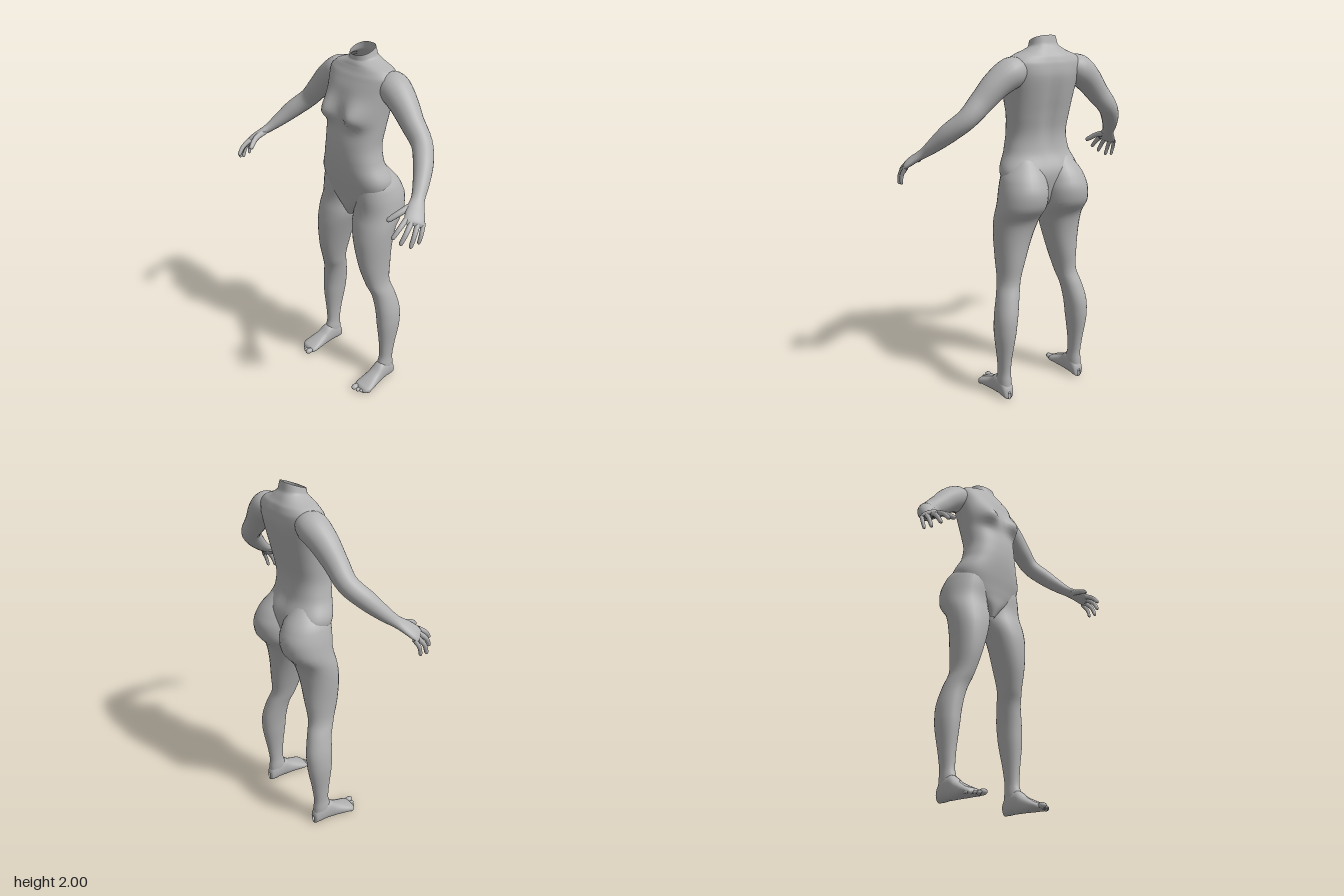
import * as THREE from 'three';

const Z = new THREE.Vector3(0, 0, 1), X = new THREE.Vector3(1, 0, 0), Y = new THREE.Vector3(0, 1, 0);
const ARM_REF = new THREE.Vector3(0.59, 0.8, 0.23);

// section planes: each returns [u, v] with u x v along the path
const level = () => [Z, X];
const upright = () => [X, Y];
const across = (t) => {
  const v = new THREE.Vector3().crossVectors(t, ARM_REF).normalize();
  return [new THREE.Vector3().crossVectors(v, t), v];
};

// smooth skin over rows of [x, y, z, radiusU, radiusV]
function loft(rows, { frame, sides = 24, steps = 4, power = 1, deform }) {
  const path = new THREE.CatmullRomCurve3(rows.map((r) => new THREE.Vector3(r[0], r[1], r[2])));
  const size = new THREE.CatmullRomCurve3(rows.map((r) => new THREE.Vector3(r[3], r[4], 0)));
  const count = (rows.length - 1) * steps;
  const pos = [], index = [];
  const bend = (n) => Math.sign(n) * Math.abs(n) ** power;
  for (let i = 0; i <= count; i++) {
    const c = path.getPoint(i / count), s = size.getPoint(i / count);
    const [u, v] = frame(path.getTangent(i / count));
    for (let j = 0; j < sides; j++) {
      const a = (j / sides) * Math.PI * 2;
      const p = c.clone()
        .addScaledVector(u, bend(Math.cos(a)) * Math.max(s.x, 0.001))
        .addScaledVector(v, bend(Math.sin(a)) * Math.max(s.y, 0.001));
      if (deform) deform(p, a);
      pos.push(p.x, p.y, p.z);
      if (i < count) {
        const k = i * sides, n = (j + 1) % sides;
        index.push(k + j, k + n, k + sides + j, k + n, k + sides + n, k + sides + j);
      }
    }
  }
  const geo = new THREE.BufferGeometry();
  geo.setAttribute('position', new THREE.Float32BufferAttribute(pos, 3));
  geo.setIndex(index);
  geo.computeVertexNormals();
  return geo;
}

function mirrored(geo) {
  const g = geo.clone();
  const p = g.attributes.position, id = g.index;
  for (let i = 0; i < p.count; i++) p.setX(i, -p.getX(i));
  for (let i = 0; i < id.count; i += 3) {
    const b = id.getX(i + 1);
    id.setX(i + 1, id.getX(i + 2));
    id.setX(i + 2, b);
  }
  g.computeVertexNormals();
  return g;
}

// level section from its four extents
const slab = ([y, x0, x1, front, back]) =>
  [(x0 + x1) / 2, y, (front + back) / 2, (front - back) / 2, (x1 - x0) / 2];
const bump = (d, r) => Math.exp(-((d / r) ** 2));

export function createModel() {
  const group = new THREE.Group();
  group.name = 'figure';
  const skin = new THREE.MeshStandardMaterial({ color: 0xb3b3b3, side: THREE.DoubleSide });
  skin.name = 'plain grey';
  const add = (name, geo) => {
    const m = new THREE.Mesh(geo, skin);
    m.name = name;
    group.add(m);
  };
  const pair = (name, geo) => {
    add('left' + name, geo);
    add('right' + name, mirrored(geo));
  };

  // torso: height, half width, front, back; open at the neck
  const torso = [
    [1.065, 0.02, -0.02, -0.1], [1.12, 0.075, 0.005, -0.17], [1.2, 0.19, 0.022, -0.2],
    [1.3, 0.228, 0.045, -0.215], [1.4, 0.187, 0.06, -0.18], [1.5, 0.17, 0.06, -0.175],
    [1.6, 0.178, 0.045, -0.195], [1.7, 0.19, 0.04, -0.22], [1.8, 0.205, 0.015, -0.24],
    [1.865, 0.215, -0.015, -0.235], [1.9, 0.18, -0.035, -0.222], [1.925, 0.115, -0.045, -0.203],
    [1.945, 0.077, -0.052, -0.185], [1.98, 0.067, -0.055, -0.175],
  ].map(([y, w, f, b]) => slab([y, -w, w, f, b]));
  add('torso', loft(torso, {
    frame: level, sides: 48, steps: 5, power: 0.86,
    deform: (p, a) => {
      const front = Math.max(0, Math.cos(a)), rear = Math.max(0, -Math.cos(a));
      const neck = THREE.MathUtils.smoothstep(p.y, 1.91, 1.98);
      // bust, hollow of the spine, slanted neck rim
      const drop = p.y < 1.665 ? 0.045 : 0.075;
      p.z += 0.055 * bump(Math.abs(p.x) - 0.105, 0.065) * bump(p.y - 1.665, drop) * Math.sqrt(front);
      p.z += 0.018 * bump(p.x, 0.035) * bump(p.y - 1.6, 0.24) * rear;
      p.y -= (p.z + 0.115) * 0.36 * neck;
    },
  }));

  // legs with buttocks: height, inner x, outer x, front, back
  const leg = [
    [0.03, 0.21, 0.275, -0.07, -0.155], [0.1, 0.206, 0.28, -0.05, -0.155],
    [0.16, 0.21, 0.277, -0.063, -0.152], [0.25, 0.205, 0.284, -0.06, -0.165],
    [0.4, 0.185, 0.3, -0.045, -0.193], [0.5, 0.172, 0.295, -0.04, -0.195],
    [0.6, 0.152, 0.273, -0.028, -0.173], [0.68, 0.13, 0.25, 0.002, -0.15],
    [0.8, 0.095, 0.25, 0.035, -0.16], [0.95, 0.045, 0.262, 0.045, -0.175],
    [1.04, 0.014, 0.268, 0.032, -0.2], [1.12, 0.002, 0.267, 0.012, -0.262],
    [1.2, 0, 0.256, 0.012, -0.277], [1.28, 0.008, 0.233, 0.01, -0.247],
    [1.37, 0.04, 0.17, -0.02, -0.175],
  ].map(slab);
  pair('Leg', loft(leg, { frame: level, sides: 28, power: 0.95 }));

  // feet: z, centre x, half width, top
  const foot = [
    [-0.163, 0.243, 0.008, 0.05], [-0.155, 0.243, 0.028, 0.075], [-0.12, 0.243, 0.038, 0.12],
    [-0.06, 0.245, 0.041, 0.125], [-0.01, 0.248, 0.046, 0.088], [0.04, 0.251, 0.054, 0.062],
    [0.08, 0.252, 0.058, 0.044], [0.1, 0.25, 0.05, 0.035], [0.112, 0.248, 0.035, 0.02],
  ].map(([z, x, w, top]) => [x, top / 2, z, w, top / 2]);
  pair('Foot', loft(foot, {
    frame: upright, power: 0.85,
    deform: (p) => { p.y = Math.max(p.y, 0.004 - 0.004 * bump(p.z + 0.12, 0.06)); },
  }));
  const toes = [[0.22, 0.119, 0.018], [0.247, 0.118, 0.012], [0.266, 0.108, 0.011],
    [0.283, 0.096, 0.011], [0.298, 0.081, 0.011]];
  toes.forEach(([x, z, r], i) => {
    const toe = new THREE.SphereGeometry(r, 12, 8);
    toe.scale(1, 0.9, 1.45);
    toe.translate(x, r * 0.9 + 0.004, z);
    pair('Toe' + (i + 1), toe);
  });

  // arms running on into the palms: centre, thickness, breadth
  pair('Arm', loft([
    [0.12, 1.835, -0.14, 0.045, 0.055], [0.2, 1.82, -0.14, 0.08, 0.085],
    [0.28, 1.767, -0.13, 0.073, 0.075], [0.36, 1.686, -0.118, 0.062, 0.061],
    [0.44, 1.605, -0.108, 0.053, 0.054], [0.51, 1.535, -0.05, 0.05, 0.05],
    [0.565, 1.465, 0.02, 0.037, 0.04], [0.597, 1.422, 0.07, 0.026, 0.034],
    [0.62, 1.397, 0.105, 0.021, 0.042], [0.65, 1.366, 0.143, 0.019, 0.05],
    [0.663, 1.35, 0.161, 0.014, 0.047], [0.67, 1.343, 0.169, 0.002, 0.036],
  ], { frame: across }));

  // fingers: knuckle, middle joint, tip, radius
  const digits = {
    Thumb: [[0.6, 1.405, 0.1], [0.588, 1.383, 0.175], [0.557, 1.345, 0.235], 0.0155],
    IndexFinger: [[0.632, 1.365, 0.182], [0.637, 1.333, 0.232], [0.63, 1.29, 0.27], 0.0125],
    MiddleFinger: [[0.652, 1.357, 0.165], [0.666, 1.316, 0.213], [0.66, 1.262, 0.245], 0.0125],
    RingFinger: [[0.67, 1.35, 0.14], [0.689, 1.302, 0.181], [0.688, 1.242, 0.205], 0.012],
    LittleFinger: [[0.682, 1.345, 0.117], [0.697, 1.302, 0.142], [0.695, 1.25, 0.157], 0.0105],
  };
  for (const [name, [a, b, c, r]] of Object.entries(digits)) {
    const mix = (k) => b.map((n, i) => n + (c[i] - n) * k);
    pair(name, loft([
      [...a, r * 1.15, r * 1.15], [...b, r, r], [...mix(0.8), r * 0.85, r * 0.85],
      [...mix(0.95), r * 0.55, r * 0.55], [...c, 0.001, 0.001],
    ], { frame: across, sides: 10, steps: 3 }));
  }

  return group;
}
